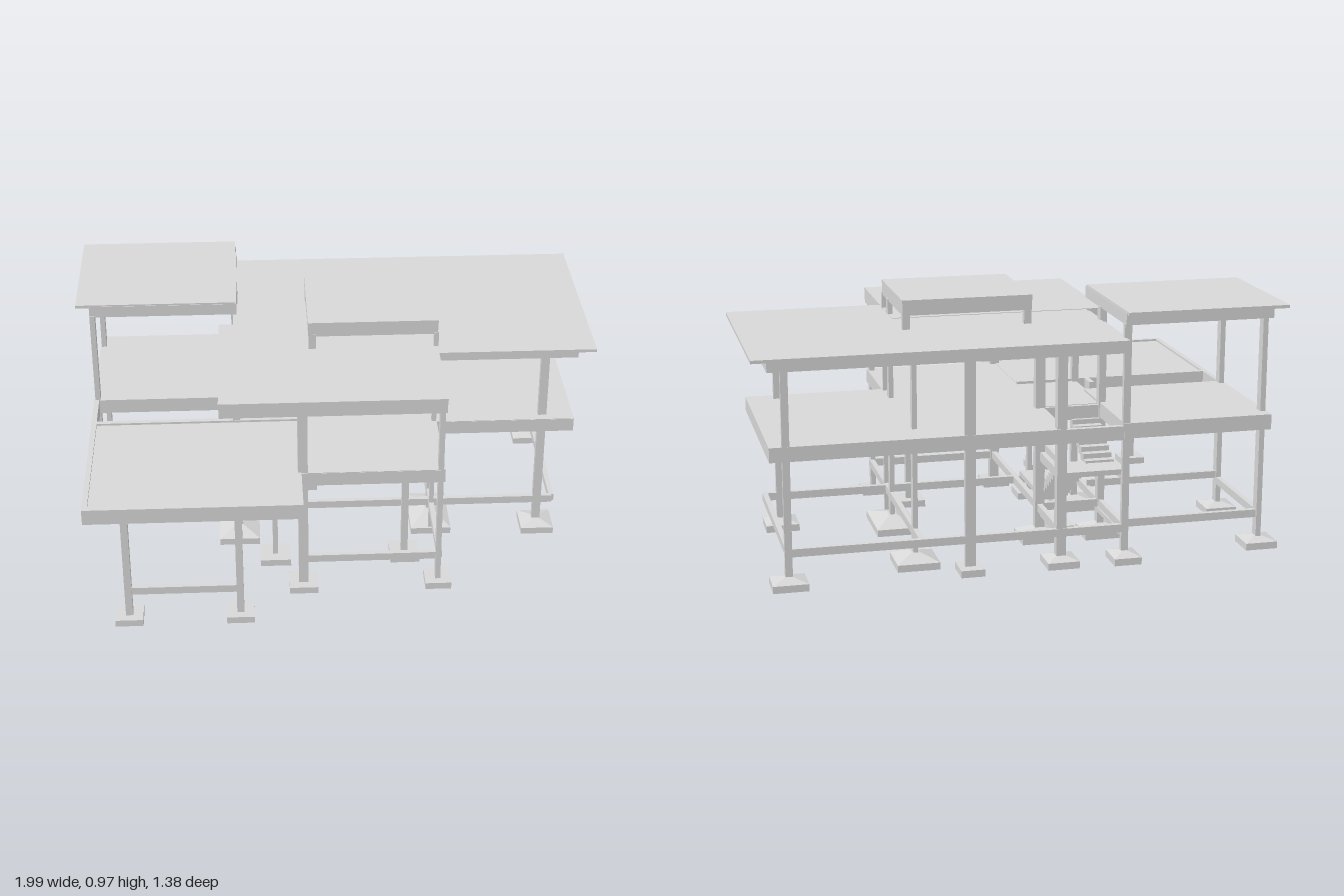
import * as THREE from 'three';

export function createModel() {
  const model = new THREE.Group();
  const concrete = new THREE.MeshStandardMaterial({ color: 0xd7d7d7 });
  concrete.name = 'concrete';

  const group = (name) => {
    const g = new THREE.Group();
    g.name = name;
    model.add(g);
    return g;
  };
  // Box given by its limits on each axis
  const box = (parent, name, x0, x1, y0, y1, z0, z1) => {
    const m = new THREE.Mesh(new THREE.BoxGeometry(x1 - x0, y1 - y0, z1 - z0), concrete);
    m.position.set((x0 + x1) / 2, (y0 + y1) / 2, (z0 + z1) / 2);
    m.name = name;
    parent.add(m);
  };

  // Footings: a flat pad, with a sloped cap on the larger ones
  const footings = group('footings');
  const footing = (x, z, w, d, cap) => {
    box(footings, 'footingPad', x - w / 2, x + w / 2, 0, 0.027, z - d / 2, z + d / 2);
    if (!cap) return;
    const g = new THREE.CylinderGeometry(0.2 * Math.SQRT2 / 2, Math.SQRT2 / 2, cap, 4, 1).toNonIndexed();
    g.rotateY(Math.PI / 4);
    g.scale(w, 1, d);
    g.computeVertexNormals();
    const m = new THREE.Mesh(g, concrete);
    m.name = 'footingCap';
    m.position.set(x, 0.027 + cap / 2, z);
    footings.add(m);
  };

  // Columns: x, z, width, depth, top, footing width, footing depth, cap height
  const columns = group('columns');
  [
    [-0.8, 0.625, 0.027, 0.03, 0.48, 0.105, 0.095, 0],
    [-0.38, 0.625, 0.027, 0.03, 0.48, 0.105, 0.095, 0],
    [-0.135, 0.44, 0.037, 0.037, 0.81, 0.11, 0.11, 0],
    [0.385, 0.44, 0.02, 0.037, 0.81, 0.1, 0.1, 0],
    [-0.24, 0.248, 0.02, 0.027, 0.48, 0.12, 0.115, 0],
    [0.27, 0.248, 0.027, 0.027, 0.48, 0.115, 0.115, 0],
    [-0.38, 0.065, 0.027, 0.024, 0.81, 0.16, 0.17, 0.022],
    [0.82, 0.065, 0.033, 0.024, 0.81, 0.13, 0.13, 0.015],
    [0.39, -0.02, 0.018, 0.037, 0.92, 0.16, 0.26, 0.025],
    [-0.93, -0.125, 0.02, 0.037, 0.91, 0.125, 0.125, 0.015],
    [-0.38, -0.305, 0.027, 0.035, 0.91, 0.15, 0.14, 0.025],
    [-0.135, -0.305, 0.037, 0.035, 0.81, 0.16, 0.14, 0.025],
    [0.39, -0.488, 0.018, 0.035, 0.81, 0.16, 0.16, 0.025],
    [-0.135, -0.615, 0.037, 0.037, 0.81, 0.12, 0.12, 0.015],
    [0.21, -0.625, 0.04, 0.02, 0.81, 0.09, 0.11, 0],
    [0.88, -0.625, 0.027, 0.02, 0.81, 0.13, 0.12, 0.015],
    [-0.38, -0.625, 0.027, 0.02, 0.91, 0.105, 0.12, 0.015],
    [-0.93, -0.57, 0.02, 0.037, 0.91, 0.125, 0.12, 0.015],
  ].forEach(([x, z, w, d, top, fw, fd, cap]) => {
    box(columns, 'column', x - w / 2, x + w / 2, 0.02, top, z - d / 2, z + d / 2);
    footing(x, z, fw, fd, cap);
  });
  box(columns, 'slimColumn', 0.381, 0.399, 0.02, 0.92, 0.086, 0.104);

  // Beams along x: [z, x0, x1]; beams along z: [x, z0, z1]
  const beams = (name, y0, y1, w, alongX, alongZ) => {
    const g = group(name);
    alongX.forEach(([z, a, b]) => box(g, 'beam', a, b, y0, y1, z - w / 2, z + w / 2));
    alongZ.forEach(([x, a, b]) => box(g, 'beam', x - w / 2, x + w / 2, y0, y1, a, b));
  };
  beams('groundBeams', 0.115, 0.145, 0.02,
    [[-0.625, -0.38, 0.88], [-0.57, -0.93, -0.38], [0.065, -0.38, 0.88], [-0.305, -0.38, -0.135],
      [0.44, -0.135, 0.385], [0.62, -0.8, -0.38]],
    [[-0.93, -0.58, -0.115], [-0.38, -0.625, 0.62], [-0.135, -0.625, 0.44], [0.39, -0.625, 0.44],
      [0.88, -0.625, 0.065]]);
  beams('raisedGroundBeam', 0.14, 0.168, 0.02, [[-0.125, -0.93, -0.38]], []);
  beams('firstFloorBeams', 0.472, 0.525, 0.022,
    [[-0.625, -0.38, 0.94], [0.1, 0.39, 0.94], [0.45, -0.15, 0.395], [-0.305, -0.38, 0.94], [0.06, -0.15, 0.39]],
    [[0.929, -0.635, 0.11], [0.39, -0.635, 0.46], [-0.14, -0.635, 0.46], [-0.375, -0.3, 0.06], [0.21, -0.635, -0.3]]);
  beams('terraceBeams', 0.476, 0.537, 0.02,
    [[0.68, -0.945, -0.14], [0.07, -0.945, -0.14]],
    [[-0.935, -0.11, 0.69], [-0.43, -0.01, 0.07]]);
  beams('terraceSideBeam', 0.476, 0.527, 0.02, [], [[-0.15, 0.06, 0.69]]);
  beams('towerFloorBeams', 0.478, 0.535, 0.02,
    [[-0.63, -0.945, -0.37], [-0.115, -0.945, -0.37]],
    [[-0.935, -0.64, -0.105], [-0.38, -0.64, -0.105]]);
  beams('roofBeams', 0.8, 0.852, 0.022,
    [[-0.625, -0.385, 0.94], [0.1, 0.39, 0.94], [0.495, -0.44, 0.395], [-0.305, -0.385, 0.94], [0, -0.44, 0.39],
      [-0.1, -0.44, -0.37]],
    [[0.929, -0.635, 0.11], [0.385, -0.635, 0.505], [-0.135, -0.635, 0.505], [-0.375, -0.635, 0],
      [-0.43, -0.11, 0.505]]);
  beams('towerRoofBeams', 0.905, 0.95, 0.02,
    [[-0.63, -0.94, -0.37], [-0.12, -0.94, -0.37]],
    [[-0.93, -0.64, -0.11], [-0.38, -0.64, -0.11]]);

  // Slabs with wide blocks underneath: x0, x1, z0, z1, top, blocks inset from the edge
  const slab = (name, x0, x1, z0, z1, top, inset = 0.02) => {
    const g = group(name);
    box(g, 'slab', x0, x1, top - 0.012, top, z0, z1);
    const n = Math.round((z1 - z0 - 2 * inset) / 0.045);
    const step = (z1 - z0 - 2 * inset) / n;
    for (let i = 0; i < n; i++) {
      const z = z0 + inset + (i + 0.5) * step;
      box(g, 'block', x0 + inset, x1 - inset, top - 0.025, top - 0.011, z - 0.014, z + 0.014);
    }
  };
  slab('mainFloor', -0.15, 0.94, -0.636, 0.11, 0.527);
  slab('frontFloor', -0.15, 0.4, 0.11, 0.46, 0.527);
  slab('hallFloor', -0.385, -0.15, -0.3, 0.07, 0.527);
  slab('towerFloor', -0.945, -0.37, -0.64, -0.105, 0.536);
  slab('terraceFloor', -0.93, -0.14, 0.07, 0.68, 0.529);
  slab('mainRoof', -0.372, 1, -0.682, 0.155, 0.858, 0.06);
  slab('frontRoof', -0.442, 0.397, -0.112, 0.507, 0.86);
  slab('towerRoof', -0.992, -0.372, -0.662, -0.112, 0.956, 0.05);

  // Raised box above the main roof
  slab('raisedRoof', -0.1, 0.397, -0.325, 0.102, 0.97);
  beams('raisedRoofBeams', 0.912, 0.968, 0.022,
    [[-0.313, -0.099, 0.396], [0.09, -0.099, 0.396]],
    [[-0.088, -0.324, 0.101], [0.385, -0.324, 0.101]]);
  const posts = group('raisedRoofPosts');
  [[-0.08, 0.095], [-0.08, -0.3], [0.385, -0.3]].forEach(([x, z]) =>
    box(posts, 'post', x - 0.018, x + 0.01, 0.85, 0.92, z - 0.018, z + 0.007));

  // Staircase: two flights joined by a landing
  const stairs = group('staircase');
  const flight = (name, x0, x1, z0, z1, y0, y1, n) => {
    const rise = (y1 - y0) / n, run = (z1 - z0) / n;
    for (let i = 0; i < n; i++) {
      const a = z0 + i * run, b = a + run * 1.25, y = y0 + (i + 1) * rise;
      box(stairs, name, x0, x1, y - rise * 1.7, y, Math.min(a, b), Math.max(a, b));
    }
  };
  flight('lowerStep', -0.26, -0.15, -0.21, -0.51, 0.15, 0.355, 10);
  flight('upperStep', -0.37, -0.26, -0.515, -0.3, 0.345, 0.475, 7);
  box(stairs, 'landing', -0.37, -0.15, 0.335, 0.355, -0.62, -0.5);
  [-0.375, -0.145].forEach((x) => {
    box(stairs, 'landingBeam', x - 0.01, x + 0.01, 0.317, 0.353, -0.62, -0.32);
    box(stairs, 'lowerBeam', x - 0.01, x + 0.01, 0.097, 0.116, -0.62, -0.32);
  });
  box(stairs, 'stairBase', -0.26, -0.15, 0.148, 0.168, -0.225, 0.05);
  box(stairs, 'stairPost', -0.25, -0.235, 0.02, 0.17, -0.222, -0.207);
  footing(-0.24, -0.215, 0.1, 0.1, 0);

  return model;
}
